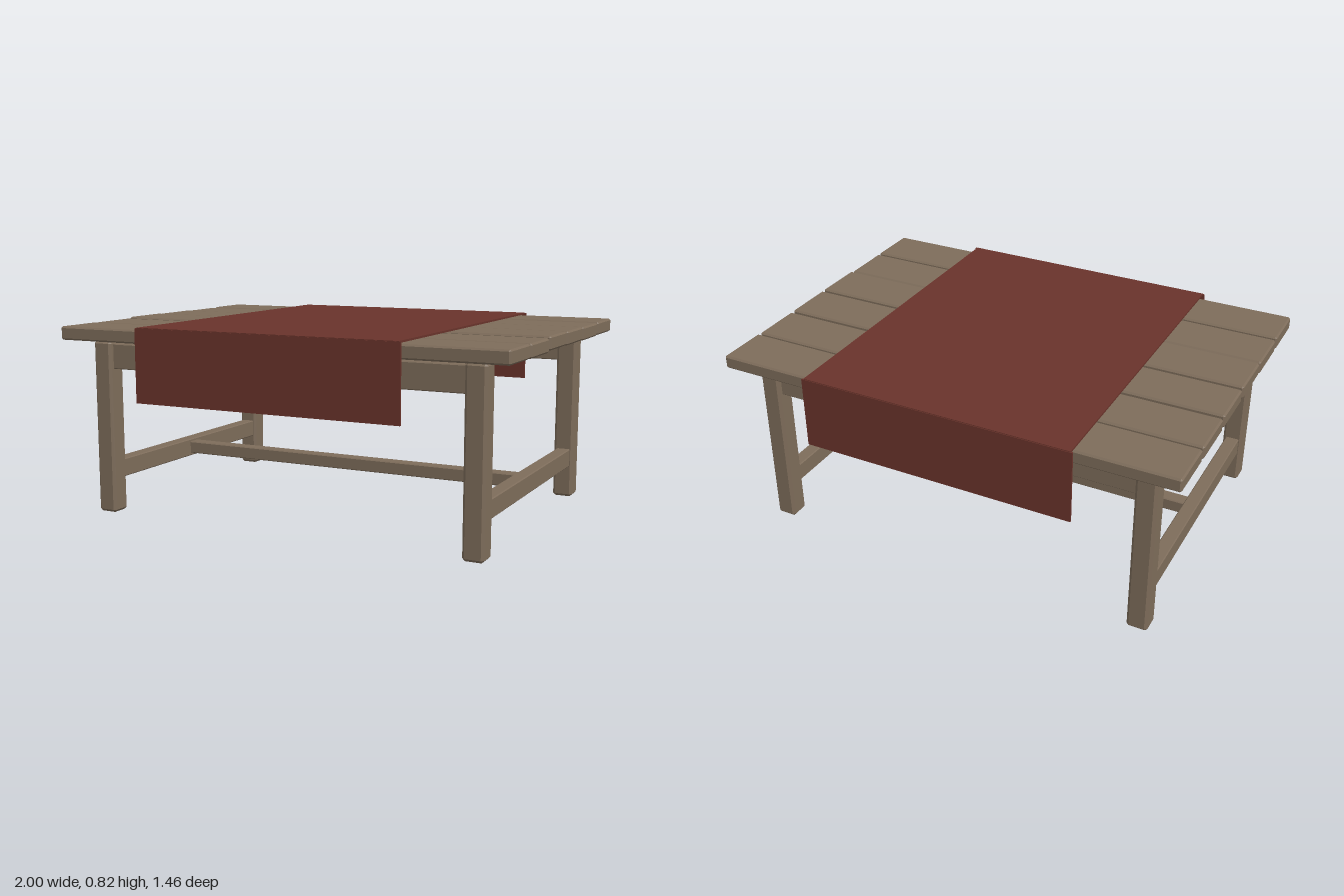
import * as THREE from 'three';
import { ConvexGeometry } from 'three/addons/geometries/ConvexGeometry.js';

const wood = new THREE.MeshStandardMaterial({ name: 'weathered wood', color: 0x7d6c5a });
const cloth = new THREE.MeshStandardMaterial({ name: 'dark red cloth', color: 0x69332b });

// Box with flat chamfers on every edge
function chamferBox(w, h, d, c) {
  const points = [];
  for (const x of [-w / 2, w / 2]) for (const y of [-h / 2, h / 2]) for (const z of [-d / 2, d / 2]) {
    const ix = x - Math.sign(x) * c, iy = y - Math.sign(y) * c, iz = z - Math.sign(z) * c;
    points.push(
      new THREE.Vector3(x, iy, iz),
      new THREE.Vector3(ix, y, iz),
      new THREE.Vector3(ix, iy, z));
  }
  return new ConvexGeometry(points);
}

export function createModel() {
  const table = new THREE.Group();
  table.name = 'table';

  const add = (parent, name, geometry, material, x, y, z) => {
    const mesh = new THREE.Mesh(geometry, material);
    mesh.name = name;
    mesh.position.set(x, y, z);
    parent.add(mesh);
  };

  // Table top: six planks running left to right, laid slightly unevenly
  const top = new THREE.Group();
  top.name = 'tableTop';
  table.add(top);
  const plank = chamferBox(1.995, 0.057, 0.222, 0.007);
  const heights = [0.782, 0.78, 0.782, 0.784, 0.778, 0.779];
  heights.forEach((y, i) => add(top, 'plank', plank, wood, 0, y, (i - 2.5) * 0.2372));

  // Four square legs
  const leg = chamferBox(0.088, 0.745, 0.088, 0.011);
  for (const x of [-0.842, 0.842]) for (const z of [-0.585, 0.585]) {
    add(table, 'leg', leg, wood, x, 0.3725, z);
  }

  // Long aprons under the top, front and back
  const apron = chamferBox(1.62, 0.108, 0.045, 0.004);
  for (const z of [-0.585, 0.585]) add(table, 'apron', apron, wood, 0, 0.68, z);

  // Low H-shaped stretcher
  const sideStretcher = chamferBox(0.06, 0.08, 1.1, 0.004);
  for (const x of [-0.842, 0.842]) add(table, 'sideStretcher', sideStretcher, wood, x, 0.182, 0);
  add(table, 'centreStretcher', chamferBox(1.64, 0.055, 0.06, 0.004), wood, 0, 0.183, 0);

  // Cloth runner with a hanging panel at each end
  const runner = new THREE.Group();
  runner.name = 'clothRunner';
  table.add(runner);
  add(runner, 'runnerTop', new THREE.BoxGeometry(1.165, 0.008, 1.456), cloth, 0, 0.817, 0);
  const drop = new THREE.BoxGeometry(1.182, 0.308, 0.008);
  for (const z of [-0.727, 0.727]) add(runner, 'runnerDrop', drop, cloth, 0, 0.664, z);

  return table;
}
